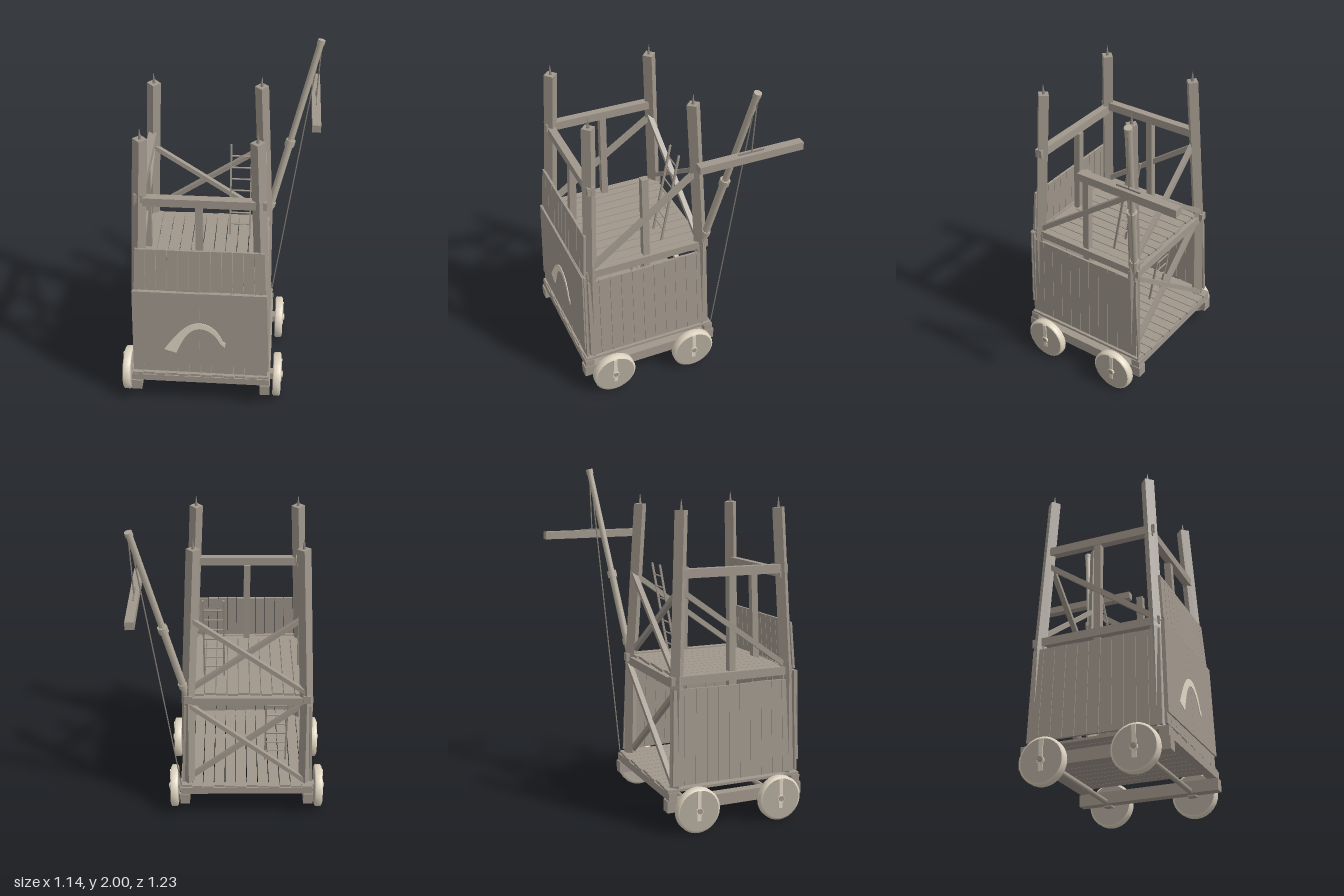
import * as THREE from 'three';

const mat = (name, color) => {
  const m = new THREE.MeshStandardMaterial({ color });
  m.name = name;
  return m;
};

export function createModel() {
  const root = new THREE.Group();
  root.name = 'siegeTower';
  const wood = mat('weathered wood', 0xa0978c);
  const spar = mat('pale spar wood', 0xb3aa9b);
  const wheelSide = mat('wheel side wood', 0xb2a99c);
  const rim = mat('wheel rim wood', 0xded3c0);
  const paint = mat('cream paint', 0xdfd6c4);
  const iron = mat('rope and iron', 0x8a8279);
  const V = (x, y, z) => new THREE.Vector3(x, y, z);

  const add = (name, geo, m, parent = root) => {
    const mesh = new THREE.Mesh(geo, m);
    mesh.name = name;
    parent.add(mesh);
    return mesh;
  };
  // Axis-aligned box given by its limits
  const box = (name, x0, x1, y0, y1, z0, z1, m = wood) =>
    add(name, new THREE.BoxGeometry(x1 - x0, y1 - y0, z1 - z0), m)
      .position.set((x0 + x1) / 2, (y0 + y1) / 2, (z0 + z1) / 2);
  // Square timber between two points
  const bar = (name, a, b, w, h = w, m = wood) => {
    const mesh = add(name, new THREE.BoxGeometry(w, h, a.distanceTo(b)), m);
    mesh.position.copy(a).lerp(b, 0.5);
    mesh.lookAt(b);
  };
  // Round pole between two points
  const pole = (name, a, b, r0, r1, m, sides = 8) => {
    const mesh = add(name, new THREE.CylinderGeometry(r1, r0, a.distanceTo(b), sides), m);
    mesh.position.copy(a).lerp(b, 0.5);
    mesh.quaternion.setFromUnitVectors(V(0, 1, 0), b.clone().sub(a).normalize());
  };
  // Plank wall over four corners: bottom start/end, top start/end
  const wall = (name, n, b0, b1, t0, t1, thick, ragged, gap) => {
    const out = b1.clone().sub(b0).cross(t0.clone().sub(b0)).normalize();
    for (let i = 0; i < n; i++) {
      const geo = new THREE.BoxGeometry(1, 1, 1);
      const p = geo.attributes.position;
      const j = Math.sin(i * 12.9 + 1), k = Math.sin(i * 7.3);
      for (let c = 0; c < p.count; c++) {
        const u = (i + 0.5 + p.getX(c) * (1 - gap)) / n;
        const v = p.getY(c) > 0 ? 1 + k * ragged * 0.3 : ragged * (j + 1) / 2;
        const q = b0.clone().lerp(b1, u).lerp(t0.clone().lerp(t1, u), v);
        q.addScaledVector(out, p.getZ(c) * thick + j * thick * 0.15);
        p.setXYZ(c, q.x, q.y, q.z);
      }
      geo.computeVertexNormals();
      add(name, geo, wood);
    }
  };

  // Ground frame, cross beams and lower deck
  for (const x of [-0.463, 0.3]) box('sill', x - 0.03, x + 0.03, 0.12, 0.19, -0.24, 0.615);
  for (const z of [-0.205, 0.58]) box('crossBeam', -0.49, 0.325, 0.19, 0.235, z - 0.027, z + 0.027);
  for (let i = 0; i < 12; i++) {
    const x = -0.485 + i * 0.0675;
    box('lowerDeckPlank', x, x + 0.063, 0.235, 0.25, -0.235 + 0.006 * (i % 3), 0.605 - 0.005 * (i % 2));
  }

  // Wheels with bevelled rims, axles, hubs and straps
  const rimProfile = [[0.12, -0.024], [0.132, -0.017], [0.132, 0.017], [0.12, 0.024]]
    .map(([r, y]) => new THREE.Vector2(r, y));
  for (const z of [0.445, -0.075]) {
    pole('axle', V(-0.575, 0.135, z), V(0.407, 0.135, z), 0.016, 0.016, wood, 10);
    for (const [x, s] of [[-0.534, -1], [0.37, 1]]) {
      const wheel = new THREE.Group();
      wheel.name = 'wheel';
      root.add(wheel);
      add('wheelRim', new THREE.LatheGeometry(rimProfile, 28), rim, wheel);
      add('wheelDisc', new THREE.CylinderGeometry(0.1205, 0.1205, 0.047, 28), wheelSide, wheel);
      wheel.rotation.z = Math.PI / 2;
      wheel.position.set(x, 0.132, z);
      pole('hub', V(x - 0.034, 0.132, z), V(x + 0.034, 0.132, z), 0.022, 0.022, rim, 12);
      const sx = x + s * 0.026;
      box('wheelStrap', sx - 0.003, sx + 0.003, 0.075, 0.25, z - 0.012, z + 0.012, rim);
      box('wheelBearing', x - s * 0.045 - 0.022, x - s * 0.045 + 0.022, 0.11, 0.155, z - 0.025, z + 0.025);
    }
  }

  // Corner posts: upright below the upper deck, leaning inward above it, with spikes
  const post = (sx, sz, y) => {
    const lean = (1.8 - Math.max(y, 0.86)) * 0.05 + Math.max(0, 0.86 - y) * 0.014;
    return V(-0.083 + sx * (0.303 + lean), y, 0.187 + sz * (0.3 + lean));
  };
  for (const sx of [-1, 1]) for (const sz of [-1, 1]) {
    bar('lowerCornerPost', post(sx, sz, 0.25), post(sx, sz, 0.87), 0.054);
    bar('cornerPost', post(sx, sz, 0.82), post(sx, sz, 1.8), 0.056);
    const t = post(sx, sz, 1.8);
    pole('postSpike', t, V(t.x, 1.86, t.z), 0.009, 0.001, iron, 8);
  }

  // Upper deck and its beams
  for (let i = 0; i < 10; i++) {
    const x = -0.427 + i * 0.0667;
    box('upperDeckPlank', x, x + 0.062, 0.868, 0.883, -0.16 + 0.006 * (i % 3), 0.49);
  }
  for (const z of [-0.155, 0.53]) box('deckBeam', -0.45, 0.29, 0.815, 0.866, z - 0.024, z + 0.024);
  for (const x of [-0.433, 0.265]) box('deckSideBeam', x - 0.022, x + 0.022, 0.84, 0.888, -0.2, 0.56);

  // Upper rails at the front and on one side
  box('frontRail', -0.43, 0.277, 1.405, 1.455, 0.483, 0.527);
  box('sideRail', -0.428, -0.382, 1.43, 1.48, -0.14, 0.535);

  // Middle posts
  bar('frontMiddlePost', V(-0.085, 0.8, 0.515), V(-0.085, 1.41, 0.49), 0.04);
  bar('sideMiddlePost', V(0.255, 0.8, 0.185), V(0.235, 1.405, 0.185), 0.04);
  bar('sideMiddlePost', V(-0.415, 0.8, 0.185), V(-0.405, 1.43, 0.185), 0.04);

  // Diagonal braces
  for (const sx of [-1, 1]) {
    bar('sideBrace', post(sx, 1, 0.89), post(sx, -1, 1.37), 0.03);
    const off = V(0, 0, sx * 0.014);
    bar('backUpperBrace', post(sx, -1, 0.9).add(off), post(-sx, -1, 1.38).add(off), 0.03, 0.026);
    bar('backLowerBrace', post(sx, -1, 0.26).add(off), post(-sx, -1, 0.82).add(off), 0.03, 0.026);
  }

  // Plank walls
  wall('leftWallPlank', 11, V(0.31, 0.262, 0.57), V(0.31, 0.262, -0.205),
    V(0.286, 0.815, 0.56), V(0.286, 0.815, -0.19), 0.015, 0.01, 0.03);
  wall('rightWallPlank', 11, V(-0.476, 0.262, -0.205), V(-0.476, 0.262, 0.57),
    V(-0.452, 0.815, -0.19), V(-0.452, 0.815, 0.56), 0.015, 0.01, 0.03);
  wall('frontWallPlank', 12, V(-0.478, 0.256, 0.587), V(0.312, 0.256, 0.587),
    V(-0.462, 0.86, 0.575), V(0.295, 0.86, 0.575), 0.014, 0.012, 0.03);
  wall('upperFrontPlank', 12, V(-0.452, 0.87, 0.574), V(0.288, 0.87, 0.574),
    V(-0.437, 1.142, 0.556), V(0.275, 1.142, 0.556), 0.014, 0.015, 0.04);

  // Smooth hide covering on the lower front, in two halves
  wall('frontCover', 2, V(-0.476, 0.32, 0.598), V(0.31, 0.32, 0.598),
    V(-0.464, 0.862, 0.586), V(0.296, 0.862, 0.586), 0.008, 0.01, 0.002);

  // Painted curved horn shape
  const arc = new THREE.Shape();
  arc.moveTo(-0.29, -0.085);
  arc.bezierCurveTo(-0.22, 0.03, -0.16, 0.12, -0.085, 0.12);
  arc.bezierCurveTo(-0.02, 0.12, 0.03, 0.06, 0.05, -0.01);
  arc.lineTo(0.067, -0.02);
  arc.lineTo(0.062, -0.055);
  arc.lineTo(0.035, -0.025);
  arc.bezierCurveTo(0.01, 0.04, -0.04, 0.082, -0.085, 0.08);
  arc.bezierCurveTo(-0.15, 0.07, -0.18, 0, -0.22, -0.11);
  arc.closePath();
  const horn = add('paintedHorn', new THREE.ExtrudeGeometry(arc, { depth: 0.005, bevelEnabled: false }), paint);
  horn.position.set(0, 0.53, 0.597);
  horn.rotation.x = -0.022;

  // Ladders: rails and rungs
  const ladder = (x0, x1, y0, z0, y1, z1) => {
    for (const x of [x0, x1]) bar('ladderRail', V(x, y0, z0), V(x, y1, z1), 0.01, 0.012);
    for (let i = 1; i < 8; i++) {
      const y = y0 + (y1 - y0) * i / 8, z = z0 + (z1 - z0) * i / 8;
      pole('ladderRung', V(x0, y, z), V(x1, y, z), 0.005, 0.005, wood, 6);
    }
  };
  ladder(0.056, 0.174, 0.883, 0.05, 1.45, -0.055);
  ladder(-0.33, -0.2, 0.25, 0.045, 0.866, -0.06);

  // Crane arm in two lengths with collars
  const foot = V(0.27, 0.86, -0.165), tip = V(0.542, 1.985, -0.318);
  const at = t => foot.clone().lerp(tip, t);
  pole('craneLowerArm', at(0), at(0.47), 0.022, 0.022, spar, 8);
  pole('craneUpperArm', at(0.42), at(1), 0.019, 0.019, spar, 8);
  pole('craneCollar', at(0.43), at(0.465), 0.03, 0.03, spar, 8);
  pole('craneFootCollar', at(0.07), at(0.1), 0.028, 0.028, spar, 8);
  pole('craneCap', at(0.985), at(1.008), 0.022, 0.022, spar, 10);

  // Ropes and the hanging beam
  pole('haulRope', V(0.32, 0.255, -0.222), V(0.538, 1.95, -0.312), 0.004, 0.004, iron, 6);
  pole('hoistRope', V(0.533, 1.63, -0.312), V(0.545, 1.96, -0.318), 0.004, 0.004, iron, 6);
  box('hangingBeam', 0.508, 0.558, 1.58, 1.625, -0.615, 0);
  box('beamSling', 0.53, 0.536, 1.625, 1.633, -0.385, -0.235, iron);
  return root;
}
